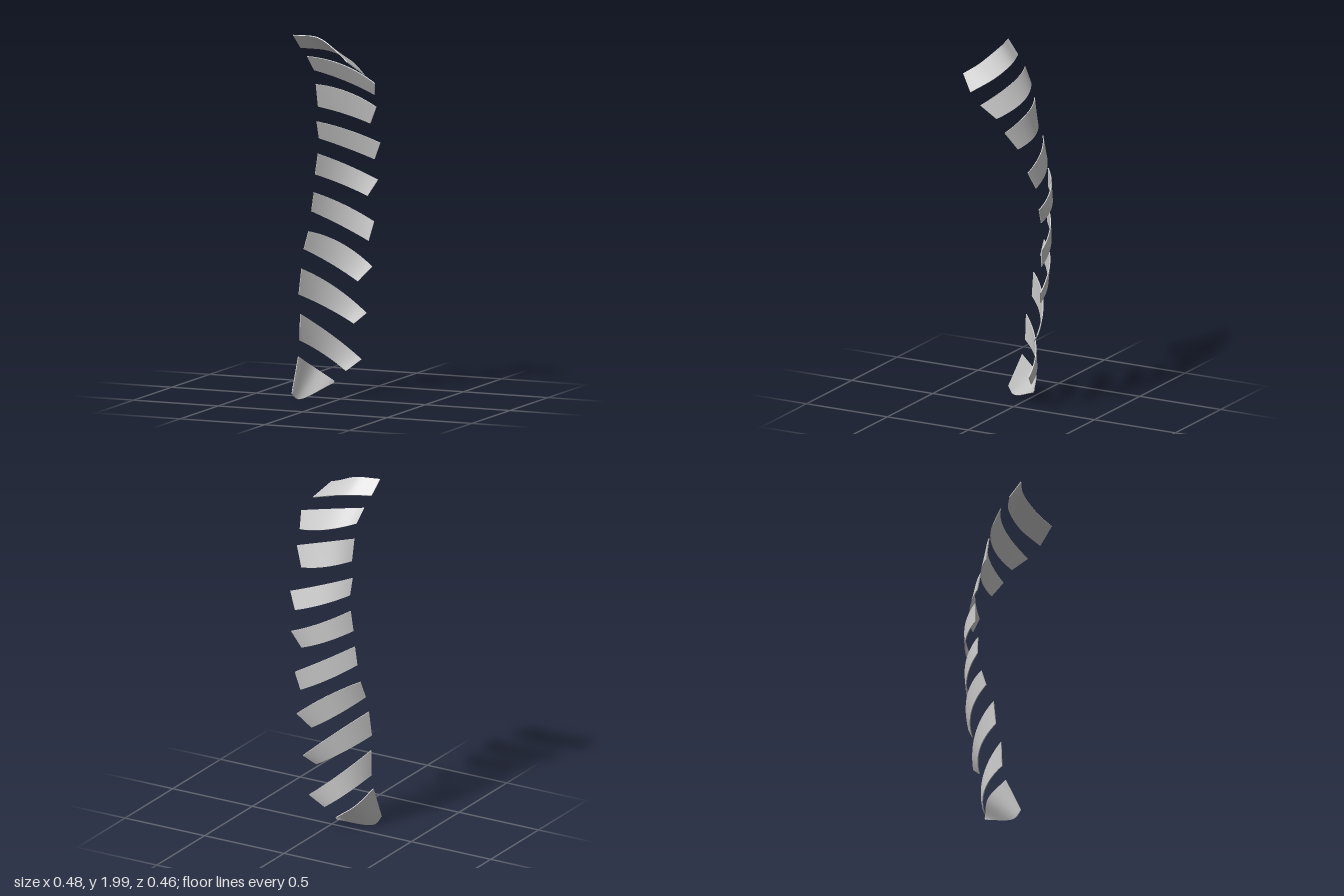
import * as THREE from 'three';
import { toCreasedNormals } from 'three/addons/utils/BufferGeometryUtils.js';

const THICKNESS = 0.005;
const SEGMENTS = 24;

const vec = p => new THREE.Vector3(...p);
const curveThrough = pts => new THREE.CatmullRomCurve3(pts.map(vec));

// Arched edge between two corners: its middle is moved by bow (z) and lift (y)
function archedEdge(left, right, bow, lift) {
  const a = vec(left), b = vec(right);
  const control = a.clone().lerp(b, 0.5).add(new THREE.Vector3(-0.025, 2 * lift, 2 * bow));
  return new THREE.QuadraticBezierCurve3(a, control, b);
}

// Thin closed plate lofted between an upper and a lower edge curve
function plateGeometry(upper, lower) {
  const positions = [], index = [];
  for (let i = 0; i <= SEGMENTS; i++) {
    const t = i / SEGMENTS;
    const a = upper.getPoint(t), b = lower.getPoint(t);
    const along = upper.getTangent(t).add(lower.getTangent(t));
    const n = along.cross(a.clone().sub(b)).setLength(THICKNESS / 2);
    const ring = [a.clone().add(n), b.clone().add(n), b.clone().sub(n), a.clone().sub(n)];
    ring.forEach(p => positions.push(p.x, p.y, p.z));
    if (i === SEGMENTS) break;
    for (let j = 0; j < 4; j++) {
      const p = i * 4 + j, q = i * 4 + (j + 1) % 4;
      index.push(p, q, q + 4, p, q + 4, p + 4);
    }
  }
  // End caps
  const e = SEGMENTS * 4;
  index.push(0, 3, 2, 0, 2, 1, e, e + 1, e + 2, e, e + 2, e + 3);
  const geometry = new THREE.BufferGeometry();
  geometry.setAttribute('position', new THREE.Float32BufferAttribute(positions, 3));
  geometry.setIndex(index);
  return toCreasedNormals(geometry, 0.7);
}

// Middle bands, bottom to top: corners (top left, top right, low left, low right as seen from the front)
const middleBands = [
  { top: [[-.22, .46, .045], [.065, .205, -.13]], low: [[-.22, .315, .05], [-.015, .14, -.1]], bow: -.045, lift: 0 },
  { top: [[-.23, .7, .005], [.07, .45, -.185]], low: [[-.24, .56, .02], [.015, .395, -.137]], bow: -.04, lift: .015 },
  { top: [[-.22, .895, -.065], [.09, .7, -.217]], low: [[-.235, .8, -.035], [.02, .62, -.178]], bow: -.04, lift: .025 },
  { top: [[-.2, 1.105, -.09], [.095, .945, -.228]], low: [[-.215, 1, -.09], [.07, .84, -.21]], bow: -.032, lift: .007 },
  { top: [[-.185, 1.315, -.11], [.12, 1.175, -.224]], low: [[-.2, 1.2, -.105], [.065, 1.085, -.207]], bow: -.036, lift: 0 },
  { top: [[-.18, 1.495, -.08], [.155, 1.385, -.175]], low: [[-.175, 1.4, -.1], [.11, 1.29, -.2]], bow: -.026, lift: .007 },
  { top: [[-.165, 1.705, -.037], [.188, 1.6, -.05]], low: [[-.16, 1.58, -.055], [.13, 1.5, -.1]], bow: -.04, lift: .015 },
  { top: [[-.185, 1.865, .033], [.235, 1.75, .075]], low: [[-.165, 1.785, -.015], [.197, 1.675, -.005]], bow: -.05, lift: .02 },
];

export function createModel() {
  const model = new THREE.Group();
  model.name = 'curvedBands';
  const material = new THREE.MeshStandardMaterial({ color: 0xcccccc });
  const addPlate = (name, upper, lower) => {
    const mesh = new THREE.Mesh(plateGeometry(upper, lower), material);
    mesh.name = name;
    model.add(mesh);
  };

  // Pointed plate at the foot
  addPlate('tipPlate',
    curveThrough([[-.22, .23, .07], [-.17, .155, -.04], [-.075, .085, -.083]]),
    curveThrough([[-.22, .04, .155], [-.2, .005, .115], [-.08, .073, -.08]]));

  // Arched bands; the lower edge has no lift
  middleBands.forEach(({ top, low, bow, lift }, i) =>
    addPlate(`band${i + 1}`, archedEdge(...top, bow, lift), archedEdge(...low, bow, 0)));

  // Wavy plate leaning forward at the top
  addPlate('crownPlate',
    curveThrough([[-.213, 1.996, .153], [-.08, 1.988, .13], [.06, 1.923, .178], [.142, 1.882, .232]]),
    curveThrough([[-.2, 1.92, .085], [-.05, 1.907, .044], [.09, 1.863, .068], [.208, 1.805, .15]]));
  return model;
}
